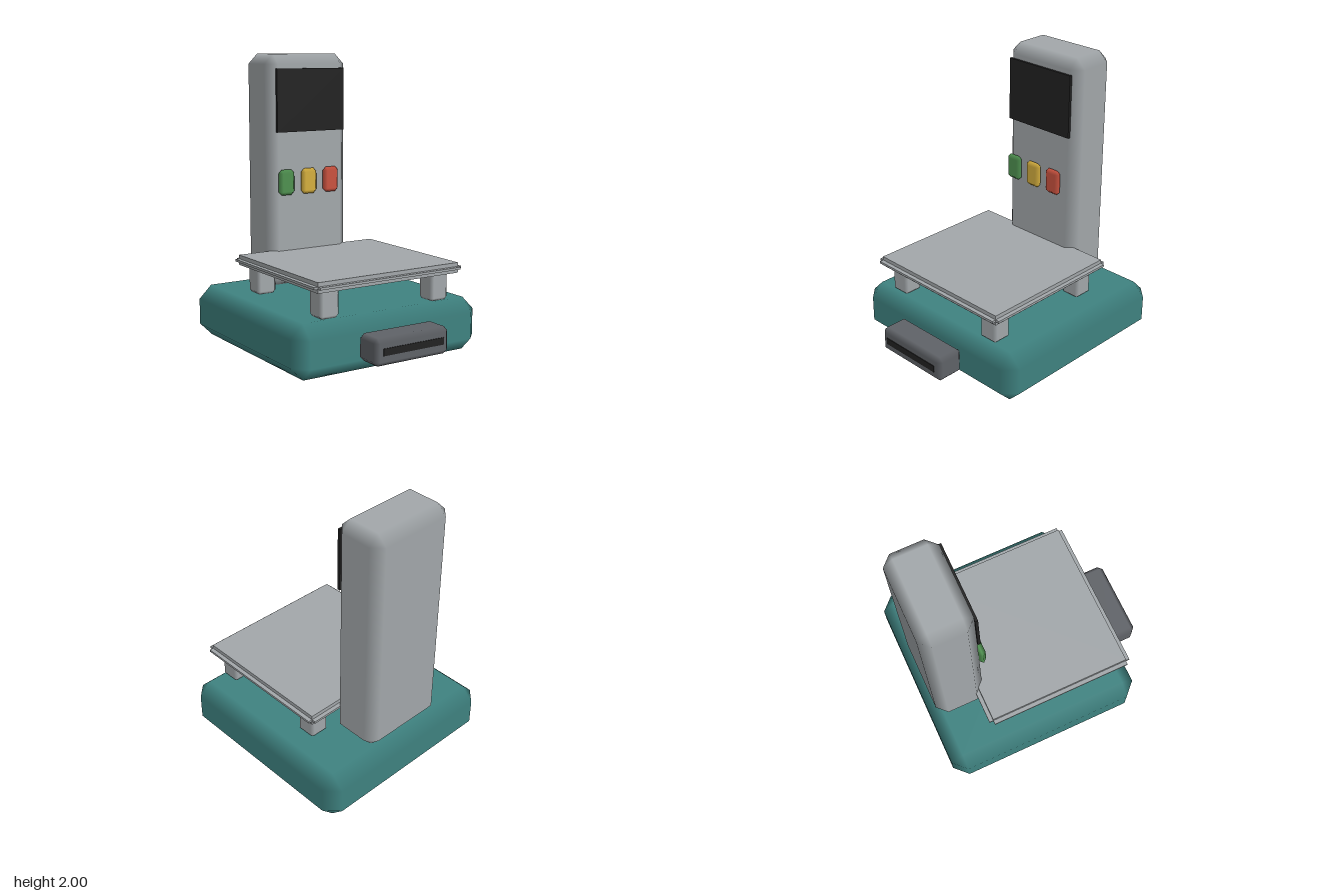
import * as THREE from 'three';

const mat = (name, color) => {
  const m = new THREE.MeshStandardMaterial({ color });
  m.name = name;
  return m;
};

// Box with one chamfer on every edge; face normals blend softly across the chamfers.
function chamferBox(w, h, d, c) {
  const half = [w / 2, h / 2, d / 2];
  const pos = [], nor = [], idx = [];
  // Corner vertex lying on the face of the given axis, for a sign triple s
  const id = (s, axis) => ((s[0] > 0 ? 1 : 0) + (s[1] > 0 ? 2 : 0) + (s[2] > 0 ? 4 : 0)) * 3 + axis;
  for (let k = 0; k < 8; k++) {
    const s = [k & 1 ? 1 : -1, k & 2 ? 1 : -1, k & 4 ? 1 : -1];
    for (let axis = 0; axis < 3; axis++) {
      for (let i = 0; i < 3; i++) {
        pos.push(s[i] * (half[i] - (i === axis ? 0 : c)));
        nor.push(i === axis ? s[i] : 0);
      }
    }
  }
  const P = (i) => new THREE.Vector3().fromArray(pos, i * 3);
  // The solid is convex about its centre, so outward winding is easy to test
  const tri = (a, b, e) => {
    const n = P(b).sub(P(a)).cross(P(e).sub(P(a)));
    idx.push(...(n.dot(P(a).add(P(b)).add(P(e))) > 0 ? [a, b, e] : [a, e, b]));
  };
  const quad = (a, b, e, f) => { tri(a, b, e); tri(a, e, f); };
  const sg = (...pairs) => {
    const s = [0, 0, 0];
    pairs.forEach(([axis, v]) => { s[axis] = v; });
    return s;
  };
  for (let a = 0; a < 3; a++) {
    const b = (a + 1) % 3, e = (a + 2) % 3;
    for (const u of [-1, 1]) {
      const f = (v, t) => id(sg([a, u], [b, v], [e, t]), a);
      quad(f(-1, -1), f(1, -1), f(1, 1), f(-1, 1)); // flat face
      for (const v of [-1, 1]) {
        const g = (t, axis) => id(sg([a, u], [b, v], [e, t]), axis);
        quad(g(-1, a), g(1, a), g(1, b), g(-1, b)); // edge chamfer
      }
    }
  }
  for (let k = 0; k < 8; k++) tri(k * 3, k * 3 + 1, k * 3 + 2); // corners
  const geo = new THREE.BufferGeometry();
  geo.setAttribute('position', new THREE.Float32BufferAttribute(pos, 3));
  geo.setAttribute('normal', new THREE.Float32BufferAttribute(nor, 3));
  geo.setIndex(idx);
  return geo;
}

export function createModel() {
  const root = new THREE.Group();
  root.name = 'weighingScale';
  const teal = mat('teal body', 0x3f8381);
  const gray = mat('light gray metal', 0xa3a8ab);
  const dark = mat('dark gray plastic', 0x606368);
  const black = mat('black glass', 0x222222);
  const green = mat('green button', 0x4f9150);
  const yellow = mat('yellow button', 0xd4ae3e);
  const red = mat('red button', 0xca523f);

  // Box given by its min and max corners, chamfered when c > 0
  const block = (name, material, x, y, z, c = 0, parent = root) => {
    const size = [x, y, z].map(([lo, hi]) => hi - lo);
    const geo = c ? chamferBox(...size, c) : new THREE.BoxGeometry(...size);
    const mesh = new THREE.Mesh(geo, material);
    mesh.position.set(...[x, y, z].map(([lo, hi]) => (lo + hi) / 2));
    mesh.name = name;
    parent.add(mesh);
  };

  // Base and display column
  block('base', teal, [-0.727, 0.727], [0, 0.364], [-0.828, 0.623], 0.092);
  block('column', gray, [-0.325, 0.325], [0.364, 2], [-0.775, -0.409], 0.07);
  block('display', black, [-0.273, 0.273], [1.46, 1.9], [-0.412, -0.392]);

  // Row of buttons
  [green, yellow, red].forEach((m, i) => {
    const x = -0.21 + i * 0.182;
    block(m.name.replace(' b', 'B'), m, [x - 0.063, x + 0.063], [1.02, 1.2], [-0.411, -0.357], 0.025);
  });

  // Weighing plate: core slab with a thin rim stepping out on all four sides
  const plate = new THREE.Group();
  plate.name = 'plate';
  root.add(plate);
  block('plateCore', gray, [-0.553, 0.553], [0.55, 0.62], [-0.455, 0.577], 0, plate);
  block('sideRim', gray, [-0.582, 0.582], [0.577, 0.593], [-0.455, 0.577], 0, plate);
  block('endRim', gray, [-0.553, 0.553], [0.577, 0.593], [-0.484, 0.606], 0, plate);

  // Four posts under the plate
  for (const x of [-0.436, 0.436]) {
    for (const z of [-0.336, 0.464]) {
      block('platePost', gray, [x - 0.072, x + 0.072], [0.364, 0.55], [z - 0.072, z + 0.072], 0.02);
    }
  }

  // Ticket outlet on the front of the base
  block('ticketOutlet', dark, [-0.29, 0.29], [0.095, 0.275], [0.623, 0.827], 0.03);
  block('ticketSlot', black, [-0.237, 0.237], [0.165, 0.212], [0.824, 0.832]);

  return root;
}
